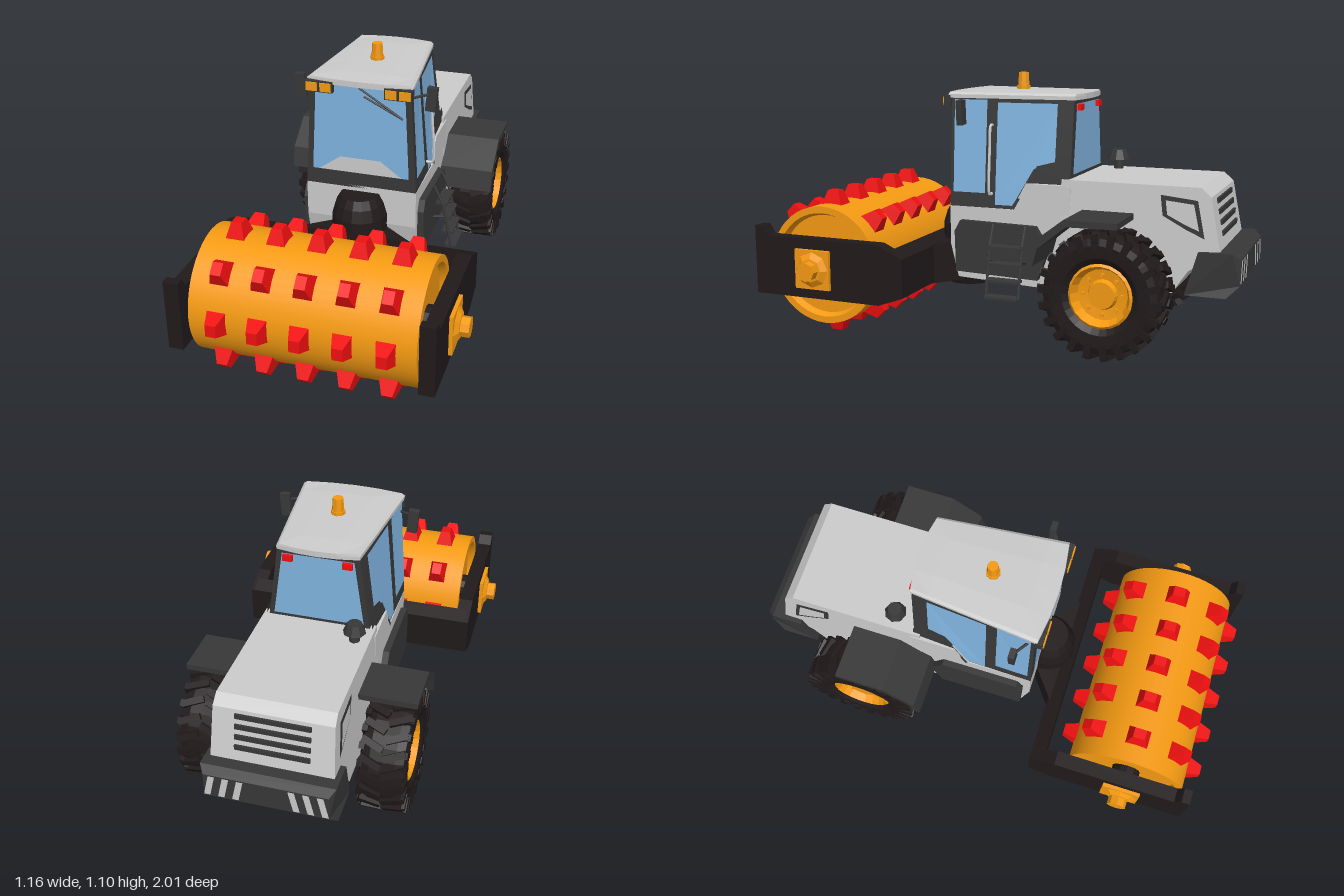
import * as THREE from 'three';
import { toCreasedNormals } from 'three/addons/utils/BufferGeometryUtils.js';

const mat = (color, extra = {}) => new THREE.MeshStandardMaterial({ color, flatShading: true, ...extra });
const V = (x, y, z) => new THREE.Vector3(x, y, z);

export function createModel() {
  const model = new THREE.Group();
  const grey = mat(0xcccccc), dark = mat(0x383838), black = mat(0x211a1b), orange = mat(0xf59a12);
  const red = mat(0xf01010);
  const glass = mat(0x80b4e0, { side: THREE.DoubleSide });
  const thin = { grey: mat(0xcccccc, { side: THREE.DoubleSide }), dark: mat(0x383838, { side: THREE.DoubleSide }) };

  const add = (name, geo, material, x = 0, y = 0, z = 0, parent = model) => {
    const m = new THREE.Mesh(geo, material);
    m.name = name;
    m.position.set(x, y, z);
    parent.add(m);
    return m;
  };
  const box = (name, w, h, d, material, x, y, z, parent) =>
    add(name, new THREE.BoxGeometry(w, h, d), material, x, y, z, parent);
  const shapeOf = pts => new THREE.Shape(pts.map(p => new THREE.Vector2(...p)));
  // side profile given as [z, y], extruded from x0 to x1
  const slab = (pts, x0, x1) => new THREE.ExtrudeGeometry(shapeOf(pts), { depth: x1 - x0, bevelEnabled: false })
    .rotateY(-Math.PI / 2).translate(x1, 0, 0);
  // move every vertex by a rule
  const warp = (geo, rule) => {
    const p = geo.attributes.position, v = V();
    for (let i = 0; i < p.count; i++) {
      rule(v.fromBufferAttribute(p, i));
      p.setXYZ(i, v.x, v.y, v.z);
    }
    geo.computeVertexNormals();
    return geo;
  };
  // turned part with [radius, x] profile around the x axis
  const turned = (pts, n) => new THREE.LatheGeometry(pts.map(p => new THREE.Vector2(...p)), n).rotateZ(-Math.PI / 2);
  const rod = (name, a, b, r, material, parent) => {
    const m = add(name, new THREE.CylinderGeometry(r, r, a.distanceTo(b), 6), material, 0, 0, 0, parent);
    m.position.copy(a).lerp(b, 0.5);
    m.quaternion.setFromUnitVectors(V(0, 1, 0), b.clone().sub(a).normalize());
  };

  // Drum with studs
  const drum = new THREE.Group();
  drum.name = 'drum';
  drum.position.set(0, 0.305, 0.7);
  model.add(drum);
  const shell = turned([[0, -0.41], [0.21, -0.41], [0.222, -0.44], [0.25, -0.44],
    [0.25, 0.44], [0.222, 0.44], [0.21, 0.41], [0, 0.41]], 48);
  add('drumShell', toCreasedNormals(shell, 0.6), new THREE.MeshStandardMaterial({ color: 0xf59a12 }), 0, 0, 0, drum);
  const stud = warp(new THREE.BoxGeometry(0.08, 0.07, 0.1), v => {
    if (v.y > 0) { v.x *= 0.52; v.z *= 0.5; }
  }).translate(0, 0.27, 0);
  for (let i = 0; i < 8; i++) for (let j = -2; j <= 2; j++)
    add('drumStud', stud, red, j * 0.163, 0, 0, drum).rotation.x = i * Math.PI / 4;

  // Drum frame
  const armProfile = [[0.98, 0.18], [0.98, 0.47], [0.945, 0.47], [0.92, 0.43], [0.4, 0.43], [0.29, 0.38], [0.29, 0.22], [0.4, 0.18]];
  for (const s of [-1, 1]) {
    add('frameArm', s > 0 ? slab(armProfile, 0.455, 0.515) : slab(armProfile, -0.515, -0.455), black);
    box('hubPlate', 0.02, 0.165, 0.16, orange, s * 0.52, 0.305, 0.7);
    const hub = add('axleHub', turned([[0.08, 0], [0.075, 0.02], [0.05, 0.035], [0.04, 0.036], [0.04, 0.07], [0, 0.07]], 8),
      orange, s * 0.51, 0.305, 0.7);
    if (s < 0) hub.rotation.y = Math.PI;
    add('axle', new THREE.CylinderGeometry(0.06, 0.06, 0.06, 12).rotateZ(Math.PI / 2), black, s * 0.435, 0.305, 0.7);
  }
  add('frameCrossbar', slab([[0.35, 0.2], [0.35, 0.41], [0.29, 0.38], [0.29, 0.22]], -0.5, 0.5), black);
  add('frameYoke', new THREE.ExtrudeGeometry(shapeOf([[-0.24, -0.3], [0.24, -0.3], [0.11, -0.2], [-0.11, -0.2]]),
    { depth: 0.17, bevelEnabled: false }).rotateX(-Math.PI / 2).translate(0, 0.215, 0), black);
  add('pivot', new THREE.LatheGeometry([[0, 0.19], [0.1, 0.19], [0.115, 0.23], [0.115, 0.45], [0.1, 0.5], [0.08, 0.535], [0, 0.535]]
    .map(p => new THREE.Vector2(...p)), 16), black, 0, 0, 0.22);

  // Body and hood
  add('chassis', slab([[0.205, 0.56], [0.205, 0.4], [0.17, 0.26], [-0.3, 0.24], [-0.32, 0.67], [-0.13, 0.67], [-0.07, 0.56]],
    -0.235, 0.235), grey);
  const hoodScale = y => 1 - 0.15 * (y - 0.28);
  add('hood', warp(slab([[-0.28, 0.28], [-0.28, 0.695], [-0.84, 0.695], [-0.88, 0.66], [-0.92, 0.45], [-0.8, 0.37], [-0.74, 0.28]],
    -0.245, 0.245), v => { v.x *= hoodScale(v.y); }), grey);
  for (let i = 0; i < 4; i++) {
    const y = 0.635 - i * 0.042;
    box('grilleSlot', 0.29, 0.02, 0.02, dark, 0, y, -0.877 - (0.66 - y) * 0.19);
  }
  add('bumper', warp(slab([[-0.79, 0.28], [-0.84, 0.45], [-0.97, 0.455], [-1, 0.43], [-1, 0.33], [-0.95, 0.28]], -0.26, 0.26),
    v => { if (v.z < -0.98) v.x *= 0.92; }), dark);
  for (const s of [-1, 1]) for (let i = 0; i < 3; i++) {
    const x = 0.085 + i * 0.055;
    add('bumperStripe', new THREE.ShapeGeometry(shapeOf([[x, 0.425], [x + 0.025, 0.425], [x + 0.045, 0.335], [x + 0.02, 0.335]]
      .map(([a, b]) => [a * s, b]))), thin.grey, 0, 0, -1.001);
  }
  // Exhaust
  add('exhaustPipe', new THREE.CylinderGeometry(0.022, 0.022, 0.06, 8), dark, -0.17, 0.715, -0.4);
  add('exhaustCap', new THREE.CylinderGeometry(0.03, 0.046, 0.04, 8), dark, -0.17, 0.755, -0.4);

  // Cab: half width narrows upward and rearward
  const cabX = (z, y) => {
    const t = (y - 0.55) / 0.46, k = (0.205 - z) / 0.515;
    return THREE.MathUtils.lerp(0.235 - 0.008 * k, 0.208 - 0.043 * k, t);
  };
  add('cabFrame', warp(new THREE.BoxGeometry(2, 0.46, 0.515, 1, 4, 4).translate(0, 0.78, -0.0525),
    v => { v.x *= cabX(v.z, v.y); }), dark);
  add('roof', warp(new THREE.BoxGeometry(2, 0.03, 0.57, 4, 2, 6).translate(0, 1.02, -0.05), v => {
    const top = v.y > 1.03 ? 0.94 : 1, end = Math.abs(v.z + 0.05) > 0.28;
    v.y -= Math.abs(v.x) > 0.9 || end ? (top < 1 ? 0.006 : 0) : 0;
    if (end) v.z -= Math.sign(v.z) * 0.02 * v.x * v.x;
    v.x *= (0.222 - (0.24 - v.z) * 0.1) * top;
  }), grey);
  const flat = (name, pts, z, material) => add(name, new THREE.ShapeGeometry(shapeOf(pts)), material, 0, 0, z);
  flat('windscreen', [[-0.205, 0.62], [0.205, 0.62], [0.185, 1.005], [-0.185, 1.005]], 0.21, glass);
  flat('dashboard', [[-0.175, 0.622], [0.175, 0.622], [0.085, 0.687], [-0.085, 0.687]], 0.213, thin.grey);
  flat('rearWindow', [[-0.185, 0.71], [0.185, 0.71], [0.145, 0.99], [-0.145, 0.99]], -0.315, glass);
  const panel = (name, pts, s, xAt, material) => add(name, warp(new THREE.ShapeGeometry(shapeOf(pts)),
    v => { v.set(s * xAt(v.x, v.y), v.y, v.x); }), material);
  const sideX = (z, y) => cabX(z, y) + 0.005;
  for (const s of [-1, 1]) {
    panel('sideWindow', [[0.19, 0.62], [0.19, 1], [0.05, 1], [0.05, 0.62]], s, sideX, glass);
    panel('doorWindow', [[0.005, 0.575], [0.005, 0.99], [-0.245, 0.99], [-0.245, 0.76], [-0.17, 0.74], [-0.07, 0.575]], s, sideX, glass);
    panel('sillTrim', [[-0.07, 0.57], [-0.16, 0.73], [-0.31, 0.73], [-0.31, 0.68], [-0.14, 0.67], [-0.08, 0.56]],
      s, (z, y) => sideX(z, y) + 0.006, thin.dark);
    // Hood side vent: dark frame around a light panel
    const vent = [[-0.685, 0.66], [-0.83, 0.645], [-0.86, 0.5], [-0.79, 0.53], [-0.695, 0.58]];
    const hoodX = d => (z, y) => 0.245 * hoodScale(y) + d;
    panel('ventFrame', vent, s, hoodX(0.004), thin.dark);
    panel('ventPanel', vent.map(([z, y]) => [-0.772 + (z + 0.772) * 0.76, 0.595 + (y - 0.595) * 0.7]), s, hoodX(0.007), thin.grey);

    // Side tanks
    const tank = [[0.17, 0.29], [0.175, 0.46], [0.15, 0.505], [-0.18, 0.5], [-0.23, 0.42], [-0.23, 0.39], [-0.19, 0.28]];
    add('sideTank', s > 0 ? slab(tank, 0.2, 0.262) : slab(tank, -0.262, -0.2), dark);
    // Fenders
    const fender = [[-0.22, 0.39], [-0.24, 0.48], [-0.37, 0.58], [-0.58, 0.58], [-0.58, 0.556], [-0.38, 0.553], [-0.265, 0.46], [-0.245, 0.39]];
    add('fender', s > 0 ? slab(fender, 0.22, 0.465) : slab(fender, -0.465, -0.22), dark);

    // Mirrors, work lights and tail lights
    box('mirror', 0.042, 0.1, 0.025, dark, s * 0.275, 0.952, 0.135).rotation.z = -s * 0.08;
    rod('mirrorArm', V(s * 0.205, 0.965, 0.18), V(s * 0.275, 0.975, 0.135), 0.006, dark);
    for (const x of [0.135, 0.193]) {
      box('lightHousing', 0.056, 0.046, 0.03, dark, s * x, 0.992, 0.222);
      box('workLight', 0.046, 0.036, 0.012, orange, s * x, 0.992, 0.236);
    }
    box('tailLight', 0.04, 0.025, 0.02, red, s * 0.12, 0.975, -0.32);
  }
  rod('wiper', V(0, 1, 0.222), V(0.18, 0.885, 0.218), 0.004, dark);
  rod('wiper', V(0.02, 0.965, 0.22), V(0.18, 0.885, 0.218), 0.004, dark);

  // Beacon
  add('beaconBase', new THREE.CylinderGeometry(0.03, 0.03, 0.014, 8), orange, 0, 1.042, -0.03);
  add('beacon', new THREE.CylinderGeometry(0.022, 0.026, 0.066, 8), orange, 0, 1.071, -0.03);

  // Grab rail and ladder on the left side
  add('grabRail', new THREE.TubeGeometry(new THREE.CatmullRomCurve3([V(0.22, 0.9, 0.02), V(0.24, 0.9, 0.02),
    V(0.252, 0.8, 0.02), V(0.262, 0.65, 0.02), V(0.255, 0.62, 0.02), V(0.23, 0.62, 0.02)]), 24, 0.006, 6), grey);
  for (const z of [0.0, -0.14]) {
    rod('ladderRail', V(0.262, 0.5, z), V(0.3, 0.42, z), 0.006, dark);
    rod('ladderRail', V(0.3, 0.42, z), V(0.345, 0.215, z), 0.006, dark);
    rod('ladderRail', V(0.262, 0.35, z), V(0.31, 0.36, z), 0.006, dark);
  }
  for (let i = 0; i < 4; i++) box('ladderStep', 0.05, 0.01, 0.14, dark, 0.34 - i * 0.015, 0.217 + i * 0.066, -0.07);

  // Rear wheels
  const half = [[0.125, 0.07], [0.15, 0.088], [0.2, 0.092], [0.226, 0.082], [0.236, 0.05]];
  const tyre = turned([...half.map(([r, x]) => [r, -x]), ...half.slice().reverse()], 28);
  const rim = turned([[0, -0.04], [0.1, -0.04], [0.118, -0.078], [0.128, -0.07], [0.128, 0.072], [0.118, 0.08],
    [0.1, 0.04], [0.06, 0.035], [0.052, 0.058], [0, 0.058]], 20);
  const lug = new THREE.BoxGeometry(0.09, 0.03, 0.027);
  const shoulder = new THREE.BoxGeometry(0.022, 0.06, 0.027);
  for (const s of [-1, 1]) {
    const wheel = new THREE.Group();
    wheel.name = 'rearWheel';
    wheel.position.set(s * 0.365, 0.29, -0.51);
    if (s < 0) wheel.rotation.y = Math.PI;
    model.add(wheel);
    add('tyre', tyre, black, 0, 0, 0, wheel);
    add('rim', rim, orange, 0, 0, 0, wheel);
    for (let i = 0; i < 44; i++) {
      const side = i % 2 ? 1 : -1, spoke = new THREE.Group();
      spoke.rotation.x = i * Math.PI / 22;
      wheel.add(spoke);
      add('treadLug', lug, black, side * 0.044, 0.235, 0, spoke).rotation.y = side * 0.4;
      add('shoulderLug', shoulder, black, side * 0.084, 0.213, side * -0.012, spoke);
    }
    for (let i = 0; i < 8; i++) {
      const a = i * Math.PI / 4;
      add('wheelBolt', new THREE.CylinderGeometry(0.008, 0.008, 0.02, 6).rotateZ(Math.PI / 2), orange,
        0.042, Math.sin(a) * 0.078, Math.cos(a) * 0.078, wheel);
    }
  }
  add('rearAxle', new THREE.CylinderGeometry(0.06, 0.06, 0.6, 12).rotateZ(Math.PI / 2), black, 0, 0.29, -0.51);
  return model;
}
